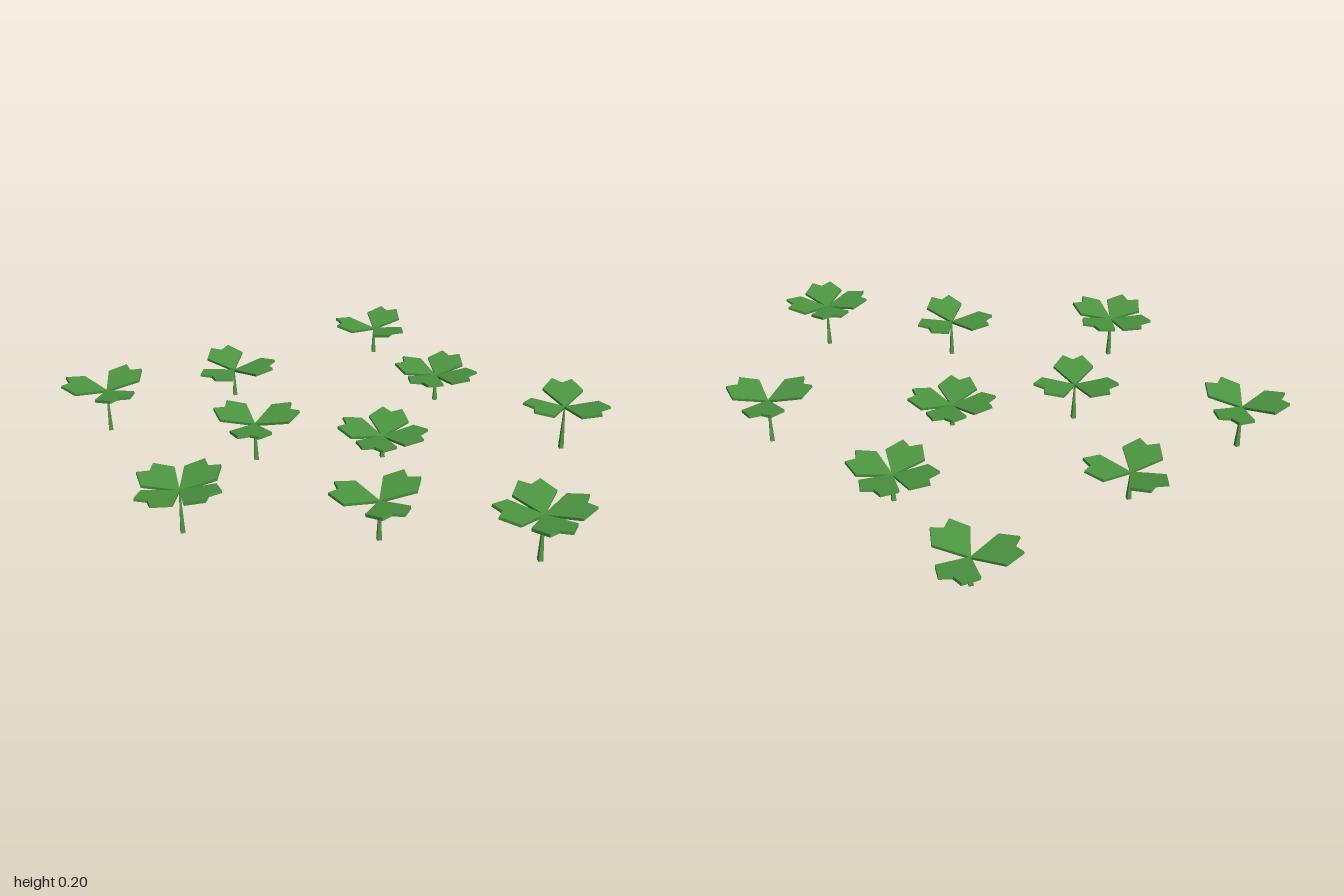
import * as THREE from 'three';

const leafGreen = new THREE.MeshStandardMaterial({ name: 'leafGreen', color: 0x4b9640, flatShading: true });
const stemGreen = new THREE.MeshStandardMaterial({ name: 'stemGreen', color: 0x559a48, flatShading: true });

// x, z, leaf height, number of leaves, heading of first leaf (degrees, +x towards +z), sideways lean
const PLANTS = [
  [-0.366, -0.755, 0.1, 3, -96, 0],
  [0.063, -0.5, 0.096, 4, -5, 0],
  [0.633, -0.4, 0.16, 3, 2, -0.02],
  [-0.623, -0.125, 0.1, 3, -28, -0.02],
  [0.115, -0.007, 0.076, 4, -17, -0.02],
  [-0.256, 0.243, 0.135, 3, -58, 0],
  [-0.845, 0.347, 0.155, 3, -90, 0],
  [0.373, 0.452, 0.137, 3, -77, 0.05],
  [-0.184, 0.746, 0.15, 4, 7, 0.05],
  [0.855, 0.291, 0.16, 4, -42, 0],
];

// Heart-shaped leaflet pointing along +x, rising outwards
function leafGeometry() {
  const outline = [[0, 0], [0.099, -0.073], [0.16, -0.036], [0.137, 0], [0.16, 0.036], [0.099, 0.073]];
  const shape = new THREE.Shape(outline.map(([x, y]) => new THREE.Vector2(x, y)));
  return new THREE.ExtrudeGeometry(shape, { depth: 0.01, bevelEnabled: false })
    .rotateX(-Math.PI / 2)
    .rotateZ(0.21);
}

export function createModel() {
  const model = new THREE.Group();
  model.name = 'cloverPatch';
  const leafGeo = leafGeometry();

  PLANTS.forEach(([x, z, height, count, heading, lean]) => {
    const plant = new THREE.Group();
    plant.name = count === 4 ? 'fourLeafClover' : 'threeLeafClover';
    plant.position.set(x, 0, z);

    // Slender stem, narrowing towards the leaves
    const stem = new THREE.Mesh(new THREE.CylinderGeometry(0.003, 0.011, height, 4), stemGreen);
    stem.name = 'stem';
    stem.position.y = height / 2;
    plant.add(stem);

    // Ring of leaves
    const crown = new THREE.Group();
    crown.name = 'leaves';
    crown.position.y = height - 0.002;
    crown.rotation.z = lean;
    for (let i = 0; i < count; i++) {
      const leaf = new THREE.Mesh(leafGeo, leafGreen);
      leaf.name = 'leaf';
      leaf.rotation.y = -THREE.MathUtils.degToRad(heading + (i * 360) / count);
      crown.add(leaf);
    }
    plant.add(crown);
    model.add(plant);
  });
  return model;
}
